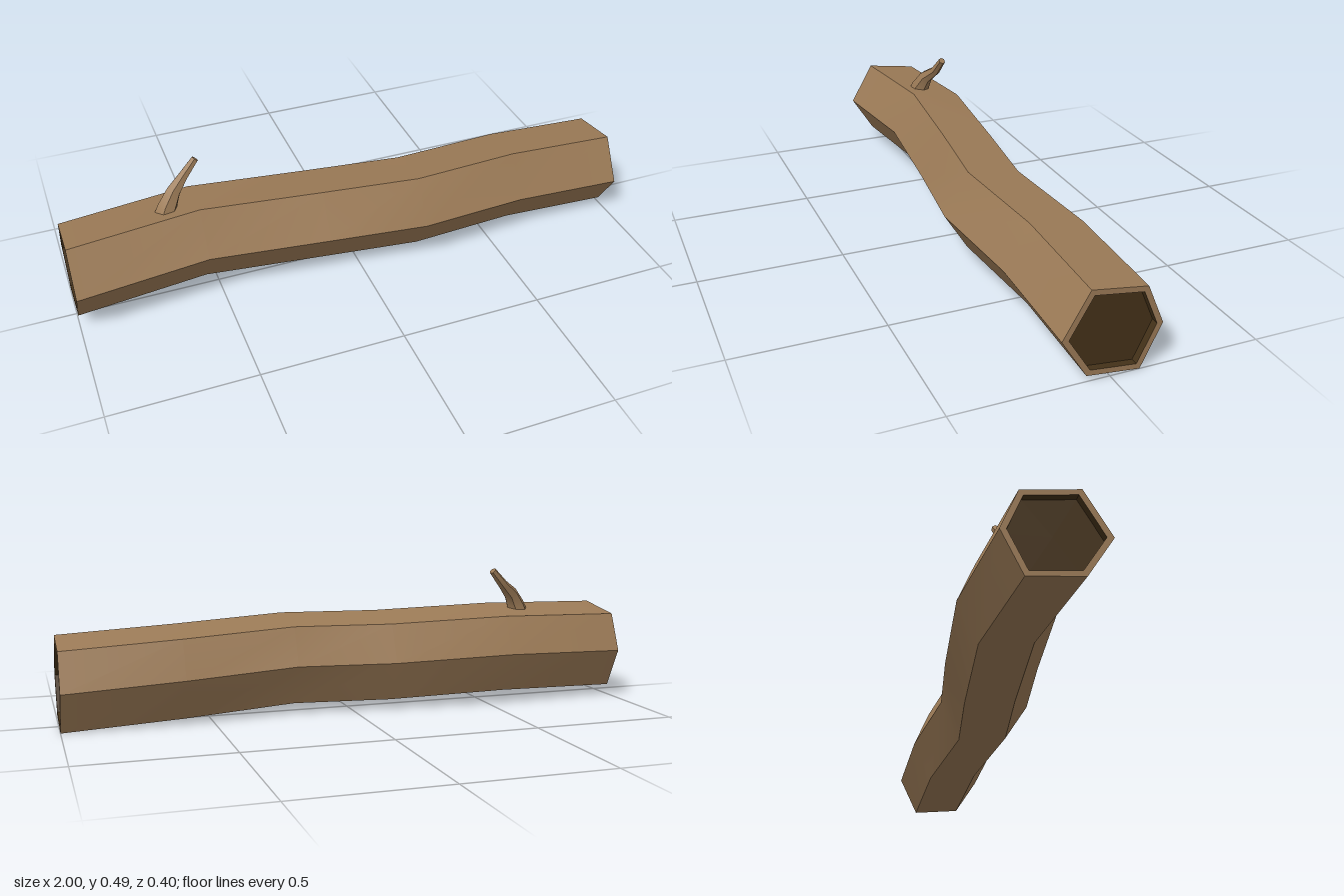
import * as THREE from 'three';
import { toCreasedNormals } from 'three/addons/utils/BufferGeometryUtils.js';

// Joins a list of rings (arrays of Vector3, clockwise seen from the far end) into a skin
function loft(rings, crease) {
  const positions = [];
  const push = (...points) => points.forEach((p) => positions.push(p.x, p.y, p.z));
  for (let i = 0; i < rings.length - 1; i++) {
    const n = rings[i].length;
    for (let j = 0; j < n; j++) {
      const k = (j + 1) % n;
      const a = rings[i][j], b = rings[i][k], c = rings[i + 1][k], d = rings[i + 1][j];
      if (c.distanceTo(d) > 1e-6) push(a, d, c);
      if (a.distanceTo(b) > 1e-6) push(a, c, b);
    }
  }
  const geometry = new THREE.BufferGeometry();
  geometry.setAttribute('position', new THREE.Float32BufferAttribute(positions, 3));
  return toCreasedNormals(geometry, crease);
}

export function createModel() {
  const group = new THREE.Group();
  const bark = new THREE.MeshStandardMaterial({ color: 0x9c7b57 });
  const dark = new THREE.MeshStandardMaterial({ color: 0x453219 });
  const add = (name, geometry, material) => {
    const mesh = new THREE.Mesh(geometry, material);
    mesh.name = name;
    group.add(mesh);
  };

  // Uneven hexagonal cross-section of the trunk: [z, y]
  const section = [[0.072, 0.297], [-0.11, 0.271], [-0.165, 0.141], [-0.097, 0.001], [0.076, 0.02], [0.158, 0.15]];
  const centreZ = -0.011, centreY = 0.147;
  const trunkRing = ([x, dy, dz], scale = 1, shift = 0) => section.map(([z, y]) => new THREE.Vector3(
    x + shift,
    centreY + (y - centreY) * scale + dy,
    centreZ + (z - centreZ) * scale + dz));

  // Bends of the trunk: [x, rise, sideways shift in z]
  const path = [[-1, 0.037, 0], [-0.55, 0.051, -0.036], [-0.13, 0.037, 0], [0.21, 0.037, 0.042], [0.6, 0.02, 0], [1, 0, 0]];
  const first = path[0], last = path[path.length - 1];
  const inner = 0.87, depth = 0.025;

  // Bark with a flat rim at both ends
  add('trunk', loft([
    trunkRing(first, inner), ...path.map((p) => trunkRing(p)), trunkRing(last, inner),
  ], 0.5), bark);

  // Dark recessed hollows
  add('rightHollow', loft([
    trunkRing(first, 0, depth), trunkRing(first, inner, depth), trunkRing(first, inner),
  ], 0.5), dark);
  add('leftHollow', loft([
    trunkRing(last, inner), trunkRing(last, inner, -depth), trunkRing(last, 0, -depth),
  ], 0.5), dark);

  // Crooked twig: [x, y, z, radius]
  const twig = [[-0.655, 0.315, -0.022, 0.04], [-0.645, 0.345, -0.026, 0.034], [-0.617, 0.39, -0.04, 0.026],
    [-0.575, 0.425, -0.065, 0.018], [-0.527, 0.478, -0.075, 0.013]];
  const centres = twig.map(([x, y, z]) => new THREE.Vector3(x, y, z));
  const twigRings = twig.map(([, , , radius], i) => {
    const tangent = centres[Math.min(i + 1, twig.length - 1)].clone().sub(centres[Math.max(i - 1, 0)]).normalize();
    const u = new THREE.Vector3(0, 0, 1).cross(tangent).normalize();
    const v = tangent.clone().cross(u);
    return Array.from({ length: 6 }, (_, j) => {
      const angle = -j * Math.PI / 3;
      return centres[i].clone()
        .addScaledVector(u, Math.cos(angle) * radius)
        .addScaledVector(v, Math.sin(angle) * radius);
    });
  });
  twigRings.push(Array.from({ length: 6 }, () => centres[twig.length - 1].clone()));
  add('twig', loft(twigRings, 0.7), bark);

  return group;
}
